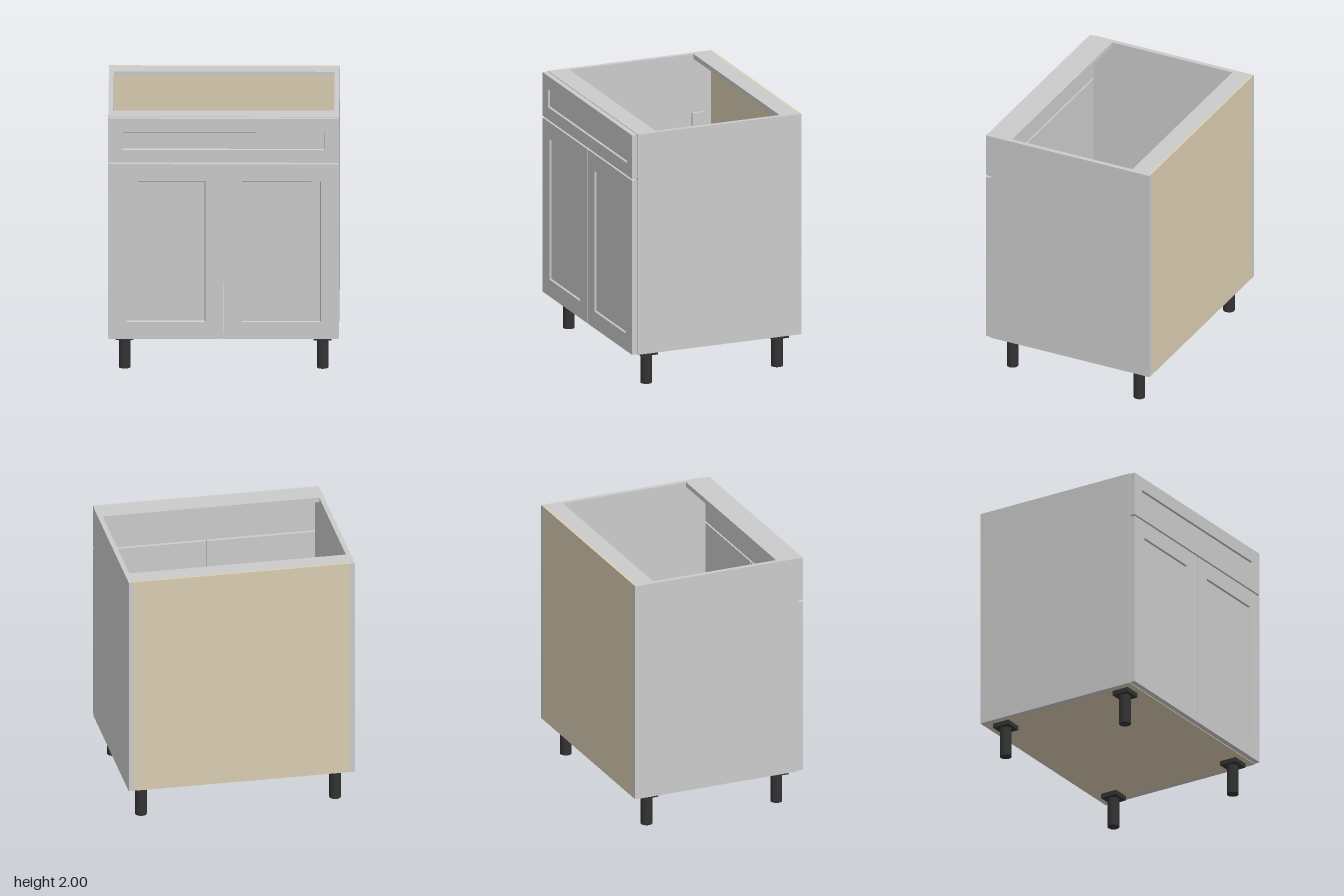
import * as THREE from 'three';

const grey = new THREE.MeshStandardMaterial({ color: 0xcccccc });
const wood = new THREE.MeshStandardMaterial({ color: 0xdacdb2 });
const dark = new THREE.MeshStandardMaterial({ color: 0x333333 });

// Box given by its extents on each axis
function box(name, material, [x0, x1], [y0, y1], [z0, z1]) {
  const mesh = new THREE.Mesh(new THREE.BoxGeometry(x1 - x0, y1 - y0, z1 - z0), material);
  mesh.position.set((x0 + x1) / 2, (y0 + y1) / 2, (z0 + z1) / 2);
  mesh.name = name;
  return mesh;
}

// Shaker front: rectangular rings lofted from the back edge round to the recessed panel
function shakerFront(name, [x0, x1], [y0, y1], [px0, px1], [py0, py1]) {
  const back = 0.647, front = 0.69, recess = 0.676, slope = 0.006;
  const ring = (a, b, c, d, z) => [[a, c, z], [b, c, z], [b, d, z], [a, d, z]];
  const rings = [
    ring(x0, x1, y0, y1, back),
    ring(x0, x1, y0, y1, front),
    ring(px0, px1, py0, py1, front),
    ring(px0 + slope, px1 - slope, py0 + slope, py1 - slope, recess),
  ];
  const points = [];
  const quad = (a, b, c, d) => points.push(...a, ...b, ...c, ...a, ...c, ...d);
  for (let r = 0; r < rings.length - 1; r++) {
    for (let i = 0; i < 4; i++) {
      const j = (i + 1) % 4;
      quad(rings[r][i], rings[r][j], rings[r + 1][j], rings[r + 1][i]);
    }
  }
  quad(...rings[3]);
  quad(...rings[0].slice().reverse());
  const geometry = new THREE.BufferGeometry();
  geometry.setAttribute('position', new THREE.Float32BufferAttribute(points, 3));
  geometry.computeVertexNormals();
  const mesh = new THREE.Mesh(geometry, grey);
  mesh.name = name;
  return mesh;
}

// Round leg under a square mounting plate
function leg(name, x, z) {
  const group = new THREE.Group();
  group.name = name;
  const post = new THREE.Mesh(new THREE.CylinderGeometry(0.044, 0.044, 0.23, 32), dark);
  post.position.y = 0.115;
  post.name = 'legPost';
  group.add(post, box('legPlate', dark, [-0.068, 0.068], [0.23, 0.265], [-0.068, 0.068]));
  group.position.set(x, 0, z);
  return group;
}

export function createModel() {
  const model = new THREE.Group();
  model.name = 'baseCabinet';
  const inner = [-0.83, 0.83];

  // Carcass
  model.add(
    box('leftSide', grey, [0.83, 0.867], [0.265, 2], [-0.69, 0.645]),
    box('rightSide', grey, [-0.867, -0.83], [0.265, 2], [-0.69, 0.645]),
    box('bottomPanel', wood, inner, [0.265, 0.302], [-0.67, 0.645]),
    box('backPanel', wood, inner, [0.265, 2], [-0.69, -0.67]),
    box('backRail', grey, inner, [1.963, 2], [-0.67, -0.527]),
    box('frontRail', grey, inner, [1.963, 2], [0.485, 0.645]),
  );

  // Doors and drawer front
  model.add(
    shakerFront('drawerFront', [-0.863, 0.863], [1.654, 1.997], [-0.76, 0.76], [1.752, 1.892]),
    shakerFront('rightDoor', [-0.863, -0.002], [0.269, 1.64], [-0.731, -0.137], [0.402, 1.508]),
    shakerFront('leftDoor', [0.002, 0.863], [0.269, 1.64], [0.137, 0.731], [0.402, 1.508]),
  );

  // Small blocks near the back panel
  for (const x of [-0.855, 0.01]) {
    for (const y of [0.37, 1.4]) {
      model.add(box('hingeBlock', grey, [x, x + 0.046], [y, y + 0.14], [-0.61, -0.513]));
    }
  }

  // Legs
  for (const [side, x] of [['Left', 0.744], ['Right', -0.744]]) {
    model.add(leg('front' + side + 'Leg', x, 0.526), leg('back' + side + 'Leg', x, -0.542));
  }
  return model;
}
